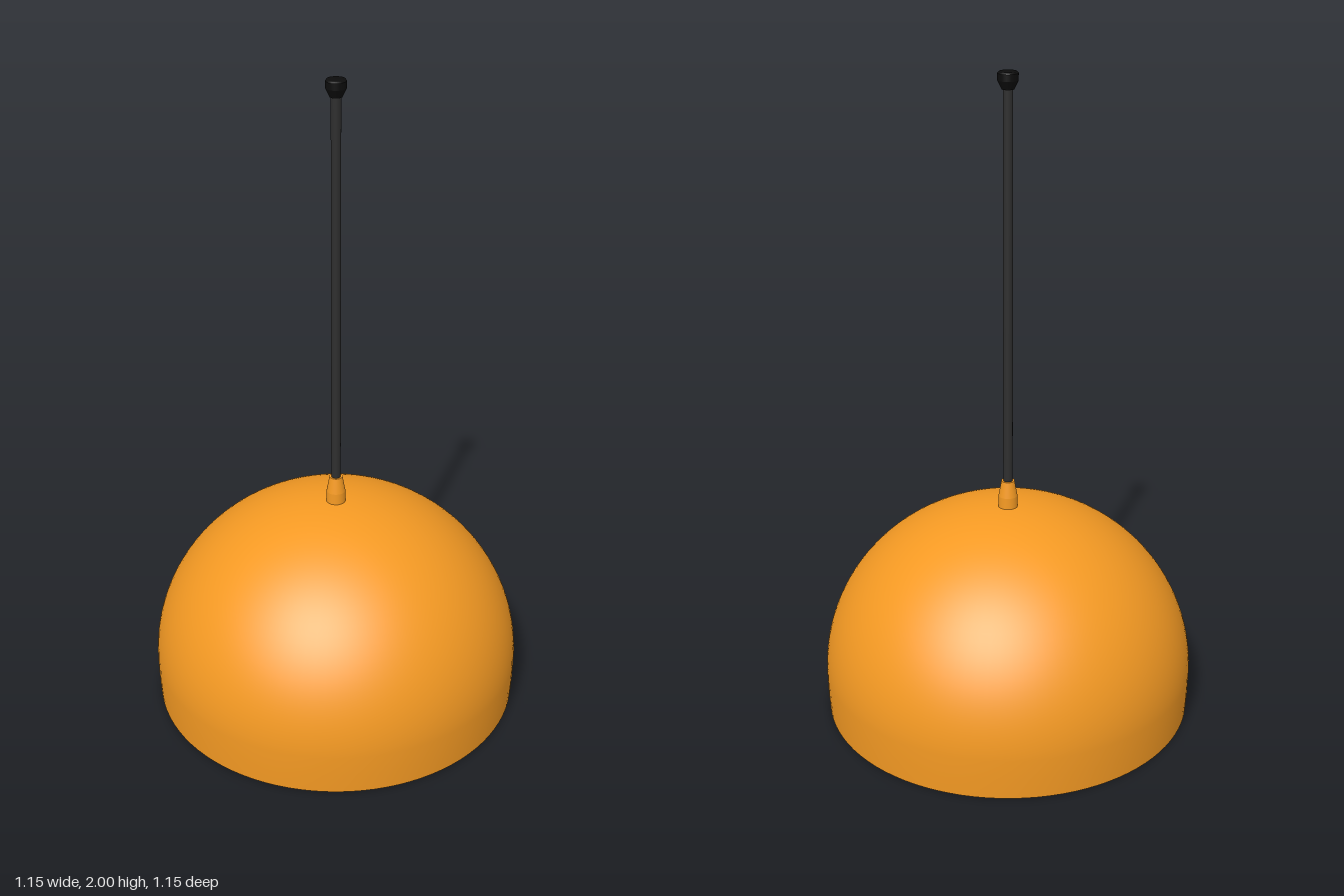
import * as THREE from 'three';

export function createModel() {
  const model = new THREE.Group();
  const orange = new THREE.MeshStandardMaterial({ color: 0xf59a23 });
  const cream = new THREE.MeshStandardMaterial({ color: 0xf5cfa8 });
  const cordGrey = new THREE.MeshStandardMaterial({ color: 0x2e2e2e });
  const black = new THREE.MeshStandardMaterial({ color: 0x0c0c0c });

  // Turned part from [radius, height] pairs; each listed profile keeps its own smooth normals
  const turn = (name, material, segments, ...profiles) => {
    const part = new THREE.Group();
    part.name = name;
    for (const profile of profiles) {
      const points = profile.map(([r, y]) => new THREE.Vector2(r, y));
      part.add(new THREE.Mesh(new THREE.LatheGeometry(points, segments), material));
    }
    part.children.forEach((mesh) => { mesh.name = name; });
    model.add(part);
  };

  // Dome profile: slightly drawn-in skirt, then a quarter ellipse to the apex
  const dome = (rim, radius, top) => {
    const middle = 0.13;
    const points = [[rim, 0], [rim + (radius - rim) * 0.75, middle / 2]];
    for (let i = 0; i <= 32; i++) {
      const a = (i / 32) * Math.PI / 2;
      points.push([i === 32 ? 0 : radius * Math.cos(a), middle + (top - middle) * Math.sin(a)]);
    }
    return points;
  };

  // Shade: outer shell, pale lining and the flat rim joining them
  turn('shadeOuter', orange, 96, dome(0.572, 0.577, 0.67));
  turn('shadeLining', cream, 96, dome(0.55, 0.555, 0.648).reverse());
  turn('shadeRim', orange, 96, [[0.55, 0], [0.572, 0]]);

  // Tapered collar where the cord enters the shade
  turn('collar', orange, 32,
    [[0.03, 0.66], [0.029, 0.705]],
    [[0.029, 0.705], [0.02, 0.755]],
    [[0.02, 0.755], [0, 0.755]]);

  // Hanging cord
  const cord = new THREE.Mesh(new THREE.CylinderGeometry(0.0145, 0.0145, 1.23, 24), cordGrey);
  cord.name = 'cord';
  cord.position.y = 1.355;
  model.add(cord);

  // Ceiling cap
  turn('ceilingCap', black, 32,
    [[0, 1.95], [0.018, 1.95]],
    [[0.018, 1.95], [0.03, 1.975]],
    [[0.03, 1.975], [0.03, 1.995]],
    [[0.03, 1.995], [0.026, 2], [0, 2]]);

  return model;
}
